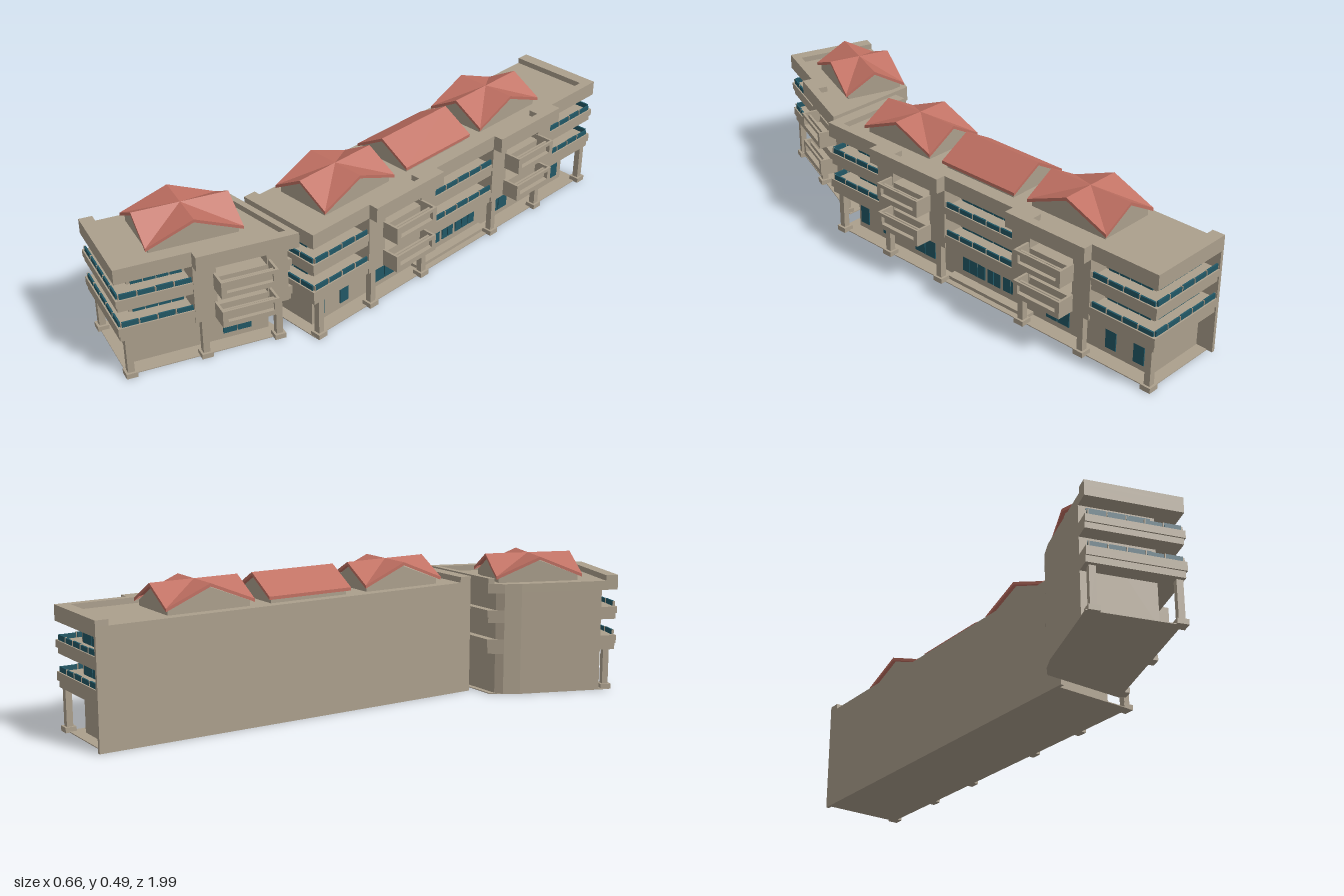
import * as THREE from 'three';

const stone = new THREE.MeshStandardMaterial({ color: 0xab9f8c });
stone.name = 'stone';
const tile = new THREE.MeshStandardMaterial({ color: 0xc07062, side: THREE.DoubleSide });
tile.name = 'roof tile';
const glass = new THREE.MeshStandardMaterial({ color: 0x215765 });
glass.name = 'teal glass';

// Blocks are built in plan coordinates: x across (0 = back wall), b along the block, z = -b.
function add(group, name, geometry, material) {
  const mesh = new THREE.Mesh(geometry, material);
  mesh.name = name;
  group.add(mesh);
}

function box(group, name, material, x0, x1, y0, y1, b0, b1) {
  const g = new THREE.BoxGeometry(x1 - x0, y1 - y0, b1 - b0);
  g.translate((x0 + x1) / 2, (y0 + y1) / 2, -(b0 + b1) / 2);
  add(group, name, g, material);
}

// Horizontal slab from a plan outline
function slab(group, name, pts, y0, y1) {
  const shape = new THREE.Shape(pts.map(([x, b]) => new THREE.Vector2(x, b)));
  const g = new THREE.ExtrudeGeometry(shape, { depth: y1 - y0, bevelEnabled: false });
  g.rotateX(-Math.PI / 2).translate(0, y0, 0);
  add(group, name, g, stone);
}

// Row of thin panes on the long facade, or on an end wall
function facadePanes(group, b0, b1, y0, y1, n, x = 0.245) {
  const p = (b1 - b0) / n;
  for (let i = 0; i < n; i++)
    box(group, 'windowPane', glass, x, x + 0.004, y0, y1, b0 + i * p + 0.002, b0 + (i + 1) * p - 0.002);
}

function endPanes(group, b, y0, y1) {
  for (let i = 0; i < 3; i++)
    box(group, 'endWindowPane', glass, 0.025 + i * 0.07, 0.09 + i * 0.07, y0, y1, b - 0.004, b + 0.004);
}

// Glass railing with slender posts, running along b or along x
function railing(group, from, to, at, y, alongX) {
  const n = Math.max(1, Math.round((to - from) / 0.06)), p = (to - from) / n;
  const piece = (name, m, s0, s1, h, t) => alongX
    ? box(group, name, m, s0, s1, y, y + h, at - t, at + t)
    : box(group, name, m, at - t, at + t, y, y + h, s0, s1);
  for (let i = 0; i < n; i++) {
    const s = from + i * p;
    piece('railingPanel', glass, s + 0.004, s + p - 0.002, i % 2 ? 0.016 : 0.018, 0.003);
    piece('railingPost', stone, s, s + 0.003, 0.018, 0.004);
  }
}

function column(group, x, b) {
  box(group, 'column', stone, x - 0.011, x + 0.011, 0, 0.15, b - 0.011, b + 0.011);
  box(group, 'columnBase', stone, x - 0.019, x + 0.019, 0, 0.018, b - 0.019, b + 0.019);
}

// Projecting balcony whose front wall has a long slot
function balcony(group, b0, b1, y) {
  const x0 = 0.31, x1 = 0.385, h = 0.06, t = 0.008;
  box(group, 'balconyFloor', stone, x0, x1, y, y + 0.012, b0, b1);
  for (const b of [b0, b1 - t]) box(group, 'balconySide', stone, x0, x1, y, y + h, b, b + t);
  box(group, 'balconyFrontLower', stone, x1 - t, x1, y, y + 0.018, b0, b1);
  box(group, 'balconyFrontTop', stone, x1 - t, x1, y + 0.048, y + h, b0, b1);
  for (const b of [b0, b1 - 0.018])
    box(group, 'balconyFrontEnd', stone, x1 - t, x1, y, y + h, b, b + 0.018);
  box(group, 'balconyInset', stone, x1 - 0.03, x1 - 0.022, y, y + 0.05, b0, b1);
}

// Extruded vertical section, centred, along z or x
function section(pts, length, alongX) {
  const g = new THREE.ExtrudeGeometry(new THREE.Shape(pts.map(p => new THREE.Vector2(...p))),
    { depth: length, bevelEnabled: false });
  g.translate(0, 0, -length / 2);
  return alongX ? g.rotateY(Math.PI / 2) : g;
}

// Four-gabled roof skin: two crossing ridges, four valleys and a fascia edge
function crossRoof(w, d, y0, y1, t) {
  const O = [0, y1, 0], v = [];
  const low = p => [p[0], p[1] - t, p[2]];
  for (const [sx, sz] of [[1, 1], [1, -1], [-1, -1], [-1, 1]]) {
    const C = [sx * w, y0, sz * d];
    for (const [M, k] of [[[sx * w, y1, 0], 1], [[0, y1, sz * d], -1]]) {
      const flip = k * sx * sz > 0;
      for (const [a, b, c] of [[O, C, M], [M, C, low(C)], [M, low(C), low(M)]])
        v.push(...(flip ? [a, b, c] : [a, c, b]).flat());
    }
  }
  const g = new THREE.BufferGeometry();
  g.setAttribute('position', new THREE.Float32BufferAttribute(v, 3));
  g.computeVertexNormals();
  return g;
}

function roof(group, b, cross) {
  const x = 0.14, w = 0.115, d = 0.16, y0 = 0.425, y1 = 0.491;
  const put = (name, g, m) => add(group, name, g.translate(x, 0, -b), m);
  const tri = h => [[-h, 0.398], [h, 0.398], [h, 0.419], [0, 0.478], [-h, 0.419]];
  put('gableWall', section(tri(w - 0.012), 2 * d - 0.024, false), stone);
  if (cross) {
    put('crossGableWall', section(tri(d - 0.012), 2 * w - 0.024, true), stone);
    put('crossGableRoof', crossRoof(w, d, y0, y1, 0.011), tile);
  } else {
    put('gableRoof', section([[-w, y0 - 0.011], [0, y1 - 0.011], [w, y0 - 0.011],
      [w, y0], [0, y1], [-w, y0]], 2 * d, false), tile);
  }
}

// Plan path along the front: start end, facade with bays, far end
function path(x, bayX, bays, m, e, tail) {
  const pts = [[0, e], [x, e]];
  for (const [b0, b1] of bays) {
    pts.push([x, b0 + m], [bayX, b0 + m]);
    if (b1) pts.push([bayX, b1 - m], [x, b1 - m]);
  }
  return pts.concat(tail(bays.at(-1)[1] ? x : bayX, e));
}

function block({ name, length, bays, tail, curve, windows, doors, columns, ends, roofs }) {
  const g = new THREE.Group();
  g.name = name;
  const plain = (x, e) => [[0, e], [x, e], ...tail(x, e), ...curve];

  // Main body and floor bands
  slab(g, 'walls', plain(0.245, 0.06), 0, 0.37);
  slab(g, 'groundSlab', plain(0.3, 0.02), 0, 0.003);
  for (const [a, b, c] of [[0.148, 0.17, 0.2], [0.26, 0.28, 0.305]]) {
    slab(g, 'floorBandLower', plain(0.315, 0.005), a, b);
    slab(g, 'floorBandUpper', plain(0.32, 0), b, c);
  }

  // Roof deck and raised parapet, open along the back
  slab(g, 'roofDeck', [...path(0.32, 0.355, bays, 0, 0, tail), ...curve], 0.367, 0.4);
  slab(g, 'parapet', [...path(0.32, 0.355, bays, 0, 0, tail),
    ...path(0.29, 0.325, bays, 0.09, 0.045, tail).reverse()], 0.4, 0.42);

  // Bays: piers, balconies and recessed windows
  for (const [b0, end] of bays) {
    const b1 = end ?? 0.56;
    for (const [p, q] of [[b0, b0 + 0.075], [b1 - 0.07, b1]])
      box(g, 'bayPier', stone, 0.24, 0.321, 0.15, 0.37, p, q);
    for (const [y, top] of [[0.155, 0.252], [0.265, 0.36]]) {
      balcony(g, b0 + 0.065, b0 + 0.255, y);
      facadePanes(g, b0 + 0.085, b0 + 0.235, y + 0.04, top, 3);
    }
  }

  // Upper windows and railings
  for (const [y, top] of [[0.2, 0.25], [0.305, 0.36]]) {
    for (const [b0, b1, n, r0, r1] of windows) {
      facadePanes(g, b0, b1, y, top, n);
      railing(g, r0, r1, 0.312, y, false);
    }
    for (const e of ends) {
      endPanes(g, e ? length - 0.06 : 0.06, y, top);
      railing(g, 0.01, 0.31, e ? length - 0.008 : 0.008, y, true);
    }
  }

  for (const [b0, b1, n] of doors) facadePanes(g, b0, b1, 0.025, 0.135, n);
  for (const [x, b] of columns) column(g, x, b);
  for (const [b, cross] of roofs) roof(g, b, cross);
  return g;
}

export function createModel() {
  const model = new THREE.Group();
  model.name = 'building';

  // Long straight block
  const L = 1.44;
  const main = block({
    name: 'longBlock', length: L,
    bays: [[0.25, 0.57], [0.87, 1.19]],
    tail: (x, e) => [[x, L - e], [0, L - e]], curve: [],
    windows: [[0.07, 0.24, 4, 0.01, 0.25], [0.58, 0.86, 6, 0.57, 0.87], [1.2, 1.37, 4, 1.19, 1.43]],
    doors: [[0.07, 0.115, 1], [0.185, 0.228, 1], [0.35, 0.45, 2], [0.955, 1.055, 2],
      [1.2, 1.245, 1], [1.31, 1.355, 1]],
    columns: [0.04, 0.28, 0.53, 0.9, 1.15, 1.415].map(b => [0.3, b]),
    ends: [0, 1],
    roofs: [[0.275, true], [0.655, false], [1.03, true]],
  });
  // Back wall fins at both ends, entrance terrace and windows with a transom
  for (const b of [0, L - 0.07]) box(main, 'endFin', stone, 0, 0.012, 0, 0.37, b, b + 0.07);
  box(main, 'terrace', stone, 0.24, 0.28, 0, 0.015, 0.54, 0.9);
  for (const b of [0.58, 0.765]) {
    facadePanes(main, b, b + 0.105, 0.04, 0.1, 3);
    facadePanes(main, b, b + 0.105, 0.106, 0.135, 3);
  }
  facadePanes(main, 0.695, 0.755, 0.04, 0.135, 2);
  main.traverse(o => o.isMesh && o.geometry.translate(-0.055, 0, 0.44));

  // Angled wing, its far end cut off along the straight block
  const cut = (x, e) => 0.468 + 0.331 * x - e;
  const wing = block({
    name: 'angledWing', length: 0.58,
    bays: [[0.247, null]],
    tail: (x, e) => [[x, cut(x, e * 0.5)], [0.025, cut(0.025, e * 0.5)]],
    curve: [[0.008, 0.42], [0, 0.36]],
    windows: [[0.07, 0.24, 4, 0.01, 0.247]],
    doors: [[0.36, 0.46, 2]],
    columns: [[0.025, 0.03], [0.3, 0.03], [0.3, 0.28], [0.3, 0.53]],
    ends: [0],
    roofs: [[0.286, true]],
  });
  // Swing the wing out, slightly skewed
  const place = new THREE.Matrix4().makeBasis(
    new THREE.Vector3(0.951, 0, 0.309), new THREE.Vector3(0, 1, 0), new THREE.Vector3(-0.3665, 0, 0.93));
  place.setPosition(-0.328, 0, 0.895);
  wing.traverse(o => o.isMesh && o.geometry.applyMatrix4(place));

  model.add(main, wing);
  return model;
}
